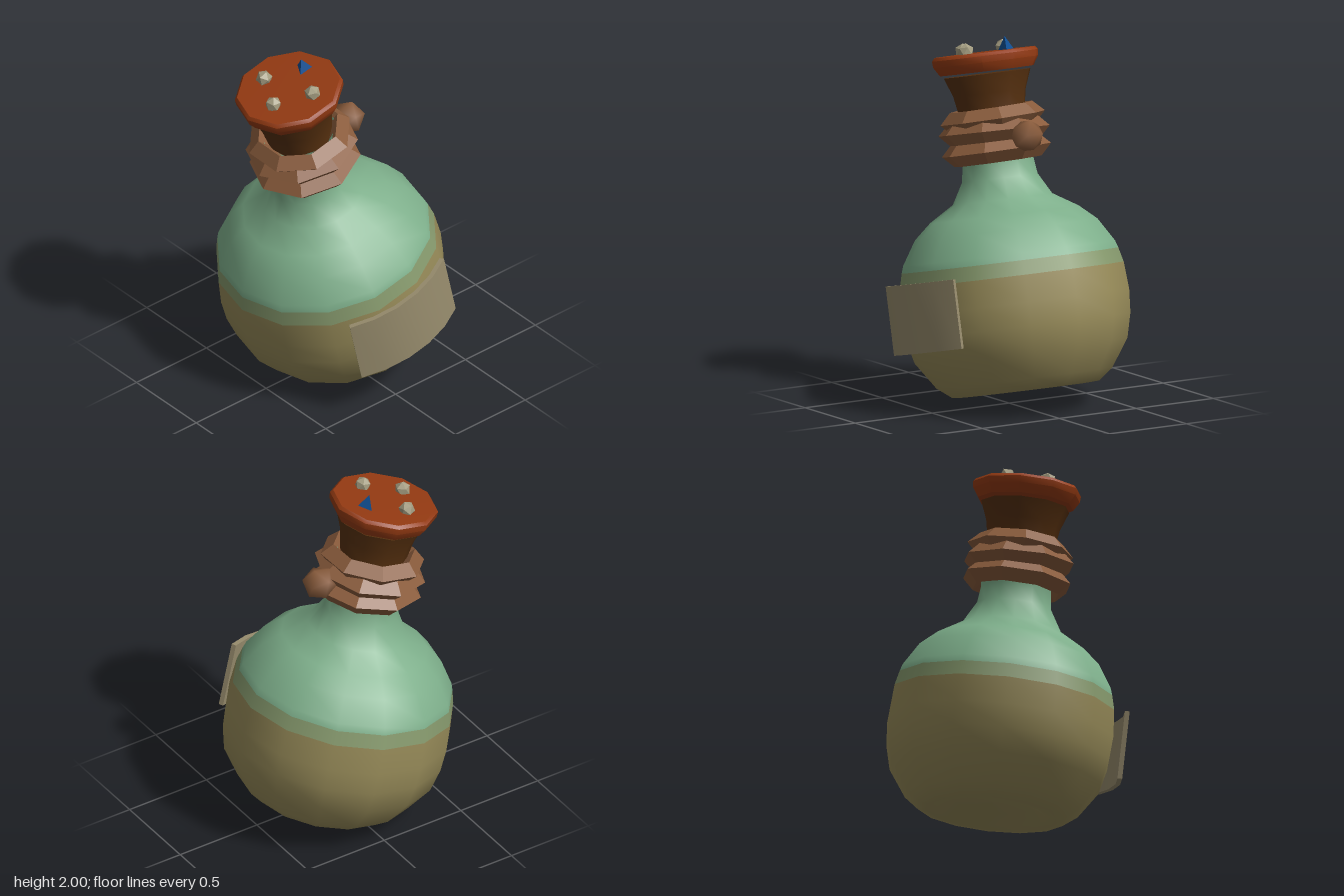
import * as THREE from 'three';
import { toCreasedNormals, mergeVertices } from 'three/addons/utils/BufferGeometryUtils.js';

const mat = (name, color) => {
  const m = new THREE.MeshStandardMaterial({ color });
  m.name = name;
  return m;
};

export function createModel() {
  const glass = mat('green glass', 0x7dae8a);
  const blend = mat('liquid surface', 0x85986c);
  const liquid = mat('olive liquid', 0x978b59);
  const capRed = mat('rust cap', 0x943a12);
  const corkBrown = mat('dark cork', 0x56300f);
  const ropeBrown = mat('rope brown', 0x8a5c3c);
  const paper = mat('label paper', 0x968b6c);
  const stone = mat('pale stone', 0xa39c80);
  const blue = mat('blue crystal', 0x0f4f94);

  const model = new THREE.Group();
  model.name = 'bottle';
  // everything is built upright, then leaned to one side
  const body = new THREE.Group();
  body.name = 'leaningBottle';
  body.position.set(0.105, 0.09, -0.04);
  body.rotation.z = 0.224;
  model.add(body);

  const add = (name, geometry, material, x = 0, y = 0, z = 0) => {
    const mesh = new THREE.Mesh(geometry, material);
    mesh.name = name;
    mesh.position.set(x, y, z);
    body.add(mesh);
    return mesh;
  };
  const lathe = (points, sides) => new THREE.LatheGeometry(
    points.map(([r, y]) => new THREE.Vector2(r, y)), sides, Math.PI / 2);

  // flask: liquid part with hollow base, surface band, clear shoulder and neck
  add('liquidBody', lathe([[0, 0.07], [0.2, 0.055], [0.3, 0.015], [0.36, 0], [0.405, 0.003],
    [0.485, 0.065], [0.587, 0.215], [0.62, 0.351], [0.629, 0.48], [0.617, 0.63]], 14), liquid);
  add('liquidBand', lathe([[0.617, 0.63], [0.597, 0.71]], 14), blend);
  add('glassShoulder', lathe([[0.597, 0.71], [0.584, 0.75], [0.503, 0.88], [0.409, 0.963],
    [0.274, 1.046], [0.208, 1.163], [0.195, 1.26], [0.2, 1.42], [0.235, 1.48], [0.235, 1.525],
    [0.2, 1.525], [0.18, 1.42]], 14), glass);

  // stopper: flared cork and a faceted cap floating just above it
  add('cork', toCreasedNormals(lathe([[0, 1.4], [0.175, 1.4], [0.187, 1.53], [0.205, 1.63],
    [0.245, 1.735], [0, 1.735]], 10), 0.7), corkBrown);
  add('cap', toCreasedNormals(lathe([[0, 1.75], [0.265, 1.75], [0.297, 1.8], [0.3, 1.835],
    [0.285, 1.852], [0, 1.856]], 10), 0.7), capRed);

  // rope coils with diamond section
  for (const [y, r, turn, tilt] of [[1.315, 0.245, 0, 0.02], [1.42, 0.25, 0, -0.02], [1.49, 0.23, Math.PI / 8, 0.03]]) {
    const g = new THREE.TorusGeometry(r, 0.062, 4, 8);
    g.rotateZ(turn);
    g.rotateX(Math.PI / 2);
    add('ropeCoil', toCreasedNormals(g, 0.5), ropeBrown, 0, y).rotation.x = tilt;
  }

  // knot bead
  const bead = new THREE.IcosahedronGeometry(0.095, 0);
  bead.deleteAttribute('normal');
  bead.deleteAttribute('uv');
  const smoothBead = mergeVertices(bead);
  smoothBead.computeVertexNormals();
  add('knotBead', smoothBead, ropeBrown, 0.328, 1.375, 0);

  // curved label plate
  const half = Math.PI / 6, steps = 5, shape = new THREE.Shape();
  const arc = (r, dir) => {
    for (let i = 0; i <= steps; i++) {
      const a = dir * half * (1 - 2 * i / steps);
      const p = [r * Math.sin(a), -r * Math.cos(a)];
      if (dir > 0 && i === 0) shape.moveTo(...p);
      else shape.lineTo(...p);
    }
  };
  arc(0.69, 1);
  arc(0.664, -1);
  shape.closePath();
  const plate = new THREE.ExtrudeGeometry(shape, { depth: 0.38, bevelEnabled: false });
  plate.rotateX(-Math.PI / 2);
  add('label', toCreasedNormals(plate, 0.4), paper, 0, 0.271, 0);

  // pebbles and crystal on the cap
  [[-0.043, -0.15], [-0.146, 0.045], [0.049, 0.15]].forEach(([x, z], i) => {
    const pebble = add('pebble', new THREE.IcosahedronGeometry(0.046, 0), stone, x, 1.868, z);
    pebble.rotation.set(0.3, i * 0.8, 0.2);
  });
  const crystal = add('crystal', toCreasedNormals(new THREE.ConeGeometry(0.056, 0.085, 3), 0.3),
    blue, 0.15, 1.885, -0.045);
  crystal.rotation.set(0, Math.PI, 0);

  return model;
}
